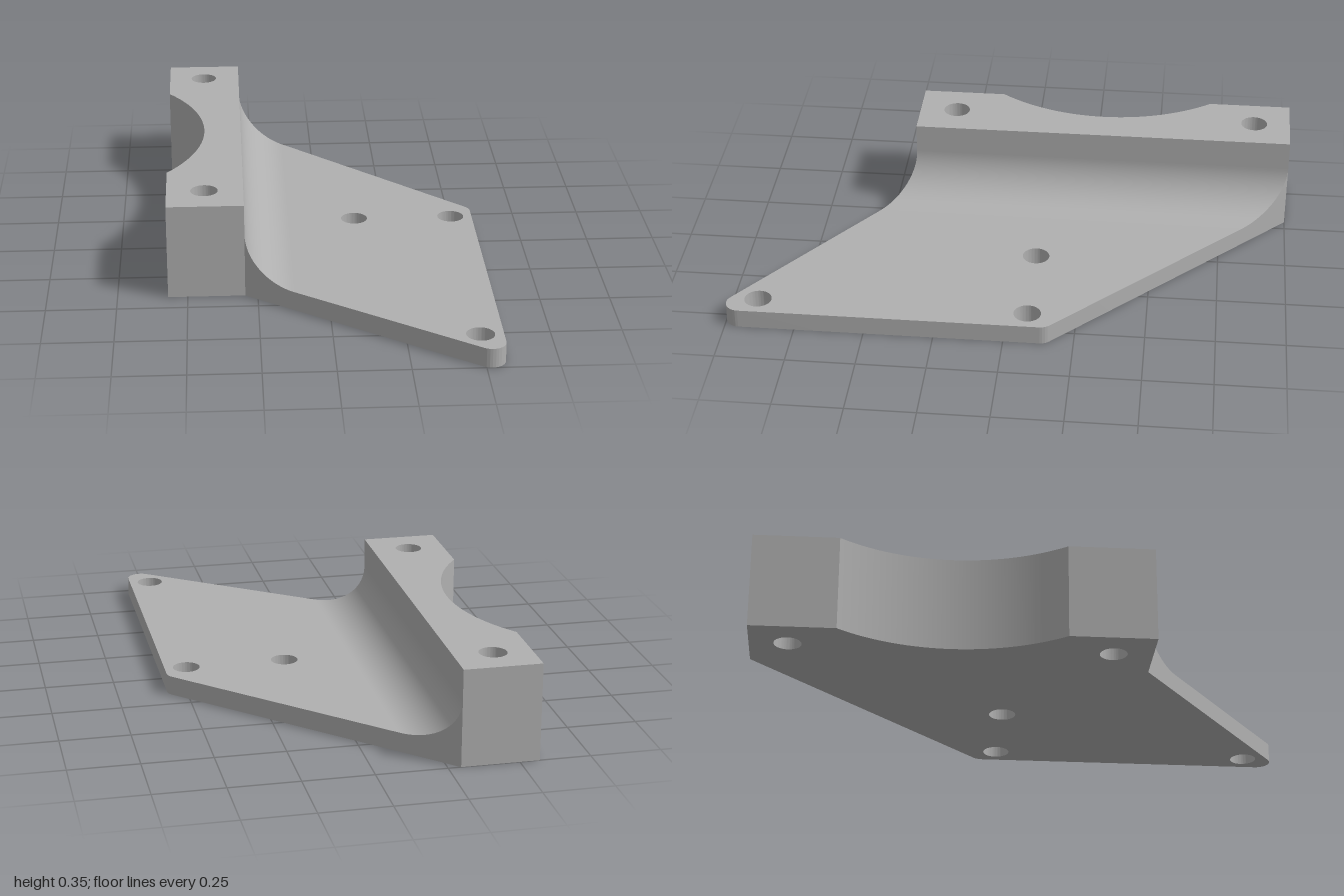
import * as THREE from 'three';
import { mergeGeometries, toCreasedNormals } from 'three/addons/utils/BufferGeometryUtils.js';

const X0 = -0.57, X1 = 0.57;      // outer sides
const WALL = -0.295;              // inner face of the block
const BLOCK_H = 0.35, PLATE_H = 0.07;
const CORNER = 0.05, HOLE = 0.049;

// Slanted plate edges as z for a given x
const FRONT_TANGENT = { x: 0.49, z: 0.99 };
const backZ = (x) => -1 + ((x - WALL) / (X1 - WALL)) * 0.85;
const frontZ = (x) => 0.415 + ((x - WALL) / (FRONT_TANGENT.x - WALL)) * (FRONT_TANGENT.z - 0.415);

// Extrudes a plan outline (shape y = -z) upward from the ground, with round holes
function slab(shape, holes, height) {
  for (const [x, z] of holes) {
    shape.holes.push(new THREE.Path().absarc(x, -z, HOLE, 0, Math.PI * 2, true));
  }
  const geo = new THREE.ExtrudeGeometry(shape, { depth: height, bevelEnabled: false, curveSegments: 40 });
  geo.rotateX(-Math.PI / 2);
  return toCreasedNormals(geo, 0.5);
}

// Grid strip between two rows of points
function strip(rowA, rowB) {
  const pos = [], index = [];
  rowA.forEach((a, i) => {
    pos.push(...a, ...rowB[i]);
    if (i > 0) {
      const k = 2 * (i - 1);
      index.push(k, k + 1, k + 2, k + 1, k + 3, k + 2);
    }
  });
  const geo = new THREE.BufferGeometry();
  geo.setAttribute('position', new THREE.Float32BufferAttribute(pos, 3));
  geo.setIndex(index);
  geo.computeVertexNormals();
  return geo;
}

// Tall block with a shallow arc cut out of its outer side
function blockGeometry() {
  const cz = -0.295, half = 0.4, sag = 0.137;
  const r = (half * half + sag * sag) / (2 * sag);
  const a = Math.asin(half / r);
  const s = new THREE.Shape();
  s.moveTo(X0, -0.415);
  s.lineTo(WALL, -0.415);
  s.lineTo(WALL, 1);
  s.lineTo(X0, 1);
  s.lineTo(X0, -cz + half);
  s.absarc(X0 + sag - r, -cz, r, a, -a, true);
  s.closePath();
  return slab(s, [[-0.435, -0.865], [-0.435, 0.275]], BLOCK_H);
}

// Flat plate with two slanted edges and rounded outer corners
function plateGeometry() {
  const s = new THREE.Shape();
  const cx = X1 - CORNER;
  s.moveTo(WALL, 1);
  s.lineTo(WALL, -0.415);
  s.absarc(cx, -0.95, CORNER, Math.atan2(-0.81, -0.587), 0, false);
  s.absarc(cx, 0.129, CORNER, 0, 0.794, false);
  s.closePath();
  return slab(s, [[0.125, -0.08], [0.49, -0.08], [0.49, 0.89]], PLATE_H);
}

// Concave fillet between block and plate, its ends following the slanted edges
function filletGeometry() {
  const r = 0.17, n = 32;
  const back = [], front = [], backBase = [], frontBase = [];
  for (let i = 0; i <= n; i++) {
    const t = (i / n) * Math.PI / 2;
    const x = WALL + r * (1 - Math.cos(t));
    const y = PLATE_H + r * (1 - Math.sin(t));
    back.push([x, y, backZ(x)]);
    front.push([x, y, frontZ(x)]);
    backBase.push([x, PLATE_H, backZ(x)]);
    frontBase.push([x, PLATE_H, frontZ(x)]);
  }
  return mergeGeometries([strip(back, front), strip(front, frontBase), strip(backBase, back)]);
}

export function createModel() {
  const group = new THREE.Group();
  group.name = 'mountingBracket';
  const metal = new THREE.MeshStandardMaterial({ color: 0xb0b0b0 });
  metal.name = 'grey metal';

  const parts = {
    mountingBlock: blockGeometry(),
    basePlate: plateGeometry(),
    fillet: filletGeometry(),
  };
  for (const [name, geo] of Object.entries(parts)) {
    const mesh = new THREE.Mesh(geo, metal);
    mesh.name = name;
    group.add(mesh);
  }
  return group;
}
